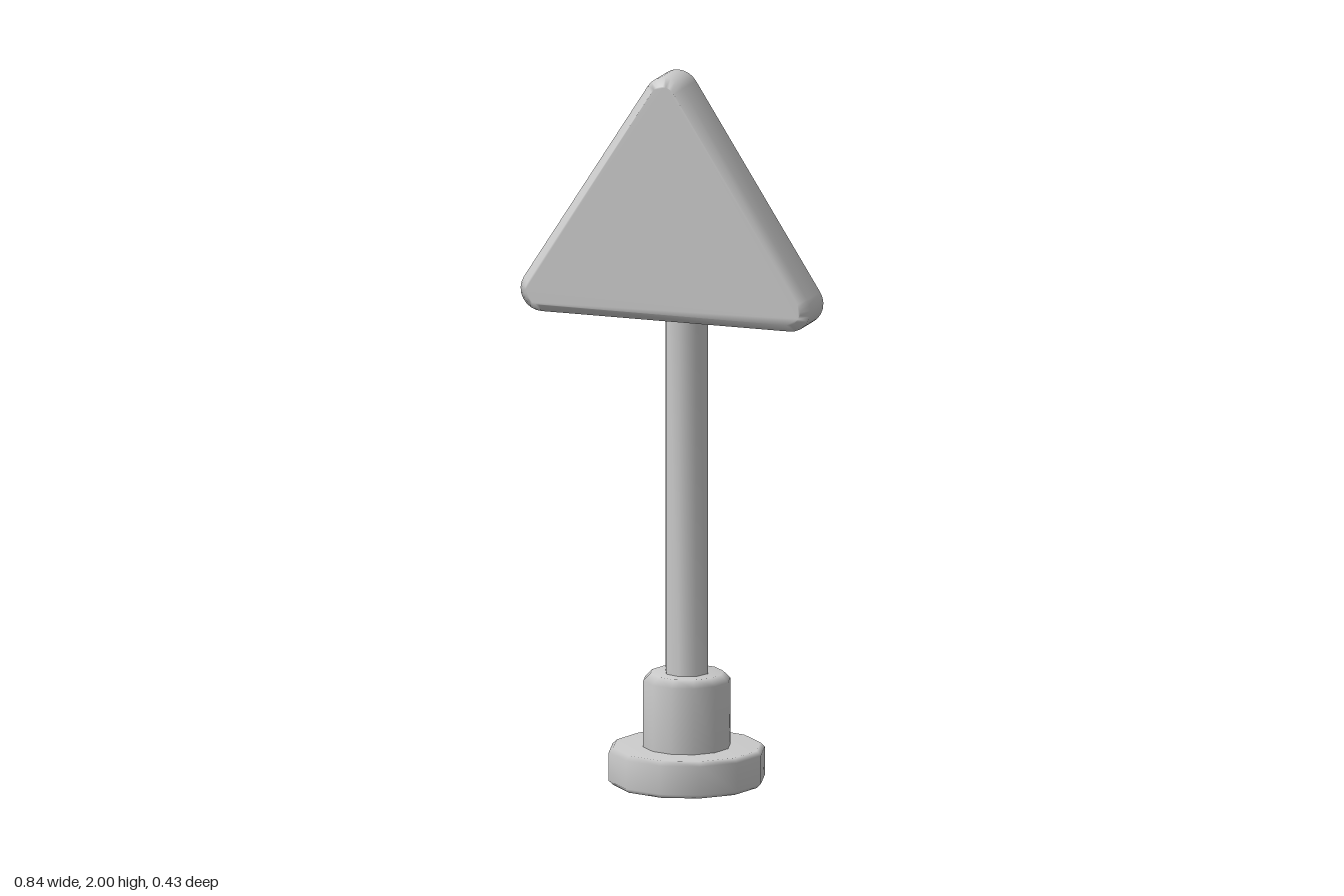
import * as THREE from 'three';
import { mergeVertices } from 'three/addons/utils/BufferGeometryUtils.js';

const material = new THREE.MeshStandardMaterial({ color: 0xcccccc });

// Weld all corners so area-weighted normals blend softly over the bevels
function softMesh(name, geometry) {
  geometry.deleteAttribute('normal');
  geometry.deleteAttribute('uv');
  const welded = mergeVertices(geometry, 1e-4);
  welded.computeVertexNormals();
  const mesh = new THREE.Mesh(welded, material);
  mesh.name = name;
  return mesh;
}

// Faceted cylinder with chamfered rims, standing from y0 to y1
function bevelledCylinder(name, radius, y0, y1, sides, bottomBevel, topBevel) {
  const profile = [
    [0, y0], [radius - bottomBevel, y0], [radius, y0 + bottomBevel],
    [radius, y1 - topBevel], [radius - topBevel, y1], [0, y1],
  ].map(([x, y]) => new THREE.Vector2(x, y));
  return softMesh(name, new THREE.LatheGeometry(profile, sides));
}

// Rounded triangle plate, chamfered front and back
function signPlate() {
  const r = 0.06, halfBase = 0.36, low = 1.38, high = 1.94;
  const tilt = Math.atan2(halfBase, high - low); // angle of the sloped side's normal
  const shape = new THREE.Shape();
  shape.absarc(halfBase, low, r, -Math.PI / 2, tilt);
  shape.absarc(0, high, r, tilt, Math.PI - tilt);
  shape.absarc(-halfBase, low, r, Math.PI - tilt, Math.PI * 1.5);
  shape.closePath();
  const bevel = 0.022, back = 0.042, front = 0.188;
  const geometry = new THREE.ExtrudeGeometry(shape, {
    depth: front - back - 2 * bevel, curveSegments: 4, bevelSegments: 1,
    bevelThickness: bevel, bevelSize: bevel, bevelOffset: -bevel,
  });
  geometry.translate(0, 0, back + bevel);
  return softMesh('signPlate', geometry);
}

export function createModel() {
  const model = new THREE.Group();
  model.name = 'signPost';

  // Foot, collar and pole
  model.add(bevelledCylinder('base', 0.215, 0, 0.103, 12, 0.012, 0.012));
  model.add(bevelledCylinder('collar', 0.12, 0.08, 0.307, 12, 0.02, 0.02));
  model.add(bevelledCylinder('pole', 0.061, 0.28, 1.56, 8, 0.01, 0.01));

  // Hub behind the plate, pointing backwards
  const hub = bevelledCylinder('hub', 0.105, -0.06, 0.13, 8, 0.02, 0.02);
  hub.rotation.x = -Math.PI / 2;
  hub.position.y = 1.605;
  model.add(hub);

  model.add(signPlate());
  return model;
}
